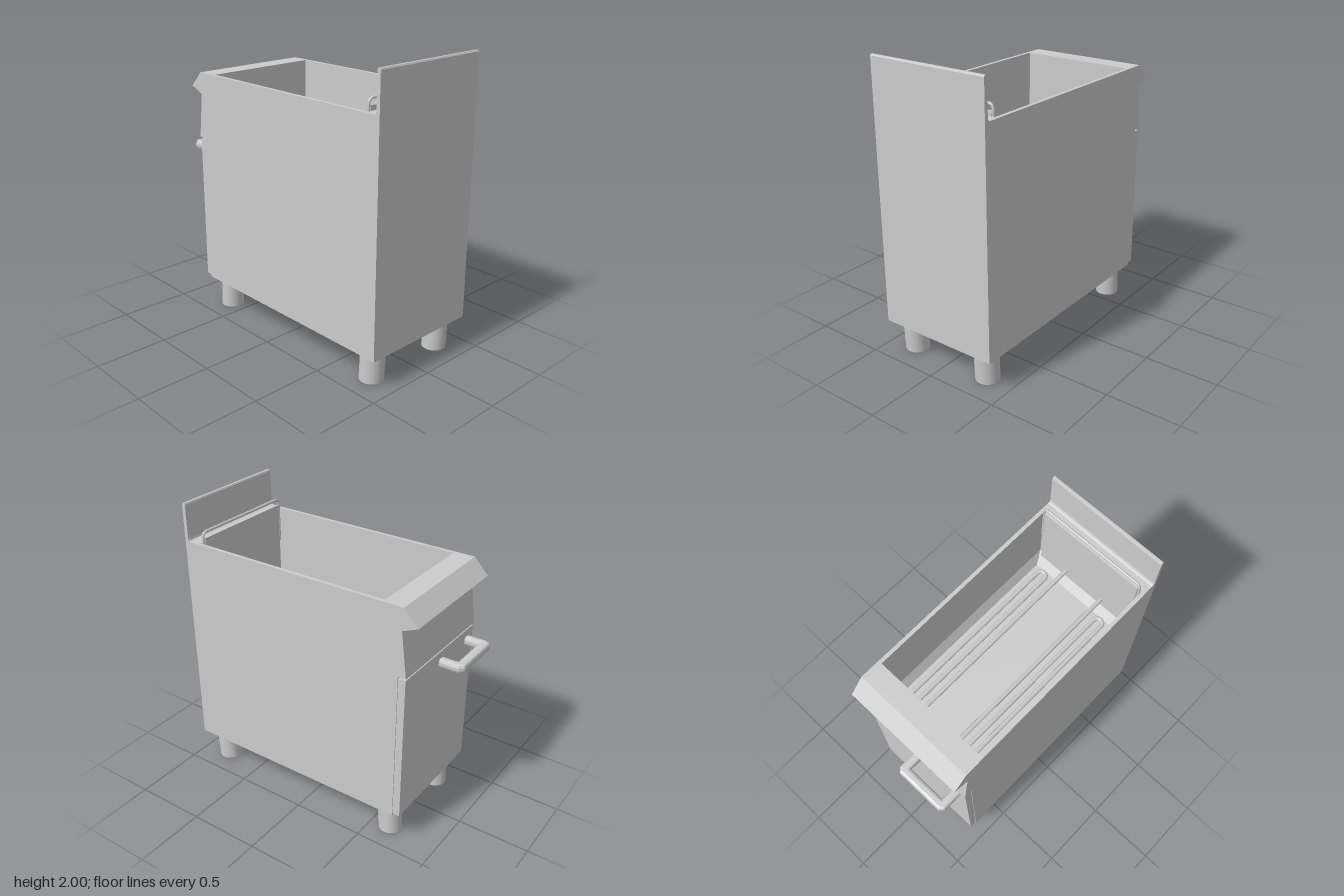
import * as THREE from 'three';

const steel = new THREE.MeshStandardMaterial({ color: 0xcccccc });
const sheet = new THREE.MeshStandardMaterial({ color: 0xcccccc, side: THREE.DoubleSide });

const toShape = (pts) => new THREE.Shape(pts.map(([x, y]) => new THREE.Vector2(x, y)));

// Extrude an x-y profile between two z positions
function slab(pts, z0, z1) {
  const geo = new THREE.ExtrudeGeometry(toShape(pts), { depth: z1 - z0, bevelEnabled: false });
  return geo.translate(0, 0, z0);
}

// Polyline with rounded corners; points are Vector3
function roundedPath(pts, r) {
  const path = new THREE.CurvePath();
  let from = pts[0];
  for (let i = 1; i < pts.length - 1; i++) {
    const p = pts[i];
    const trim = (q) => p.clone().add(q.clone().sub(p).setLength(Math.min(r, q.distanceTo(p) * 0.49)));
    const a = trim(pts[i - 1]);
    const b = trim(pts[i + 1]);
    path.add(new THREE.LineCurve3(from, a));
    path.add(new THREE.QuadraticBezierCurve3(a, p, b));
    from = b;
  }
  path.add(new THREE.LineCurve3(from, pts[pts.length - 1]));
  return path;
}

export function createModel() {
  const model = new THREE.Group();
  const add = (name, geo, mat = steel) => {
    const mesh = new THREE.Mesh(geo, mat);
    mesh.name = name;
    model.add(mesh);
    return mesh;
  };

  // Cabinet outline: base, splashback, then the sloped front lip and control panel
  const back = [[-0.72, 0.22], [0.93, 0.22], [0.93, 1.99], [0.925, 2], [0.91, 2], [0.905, 1.99],
    [0.905, 1.76], [0.9, 1.745], [0.885, 1.74]];
  const front = [[-0.74, 1.74], [-0.84, 1.635], [-0.735, 1.59], [-0.775, 1.28], [-0.72, 1.28]];
  const tank = [[0.82, 1.74], [0.82, 1.26], [0.75, 1.18], [-0.57, 1.18], [-0.6, 1.26], [-0.6, 1.74]];

  add('cabinetCore', slab([...back, ...tank, ...front], -0.405, 0.405));
  add('sidePanelBack', slab([...back, ...front], -0.43, -0.405));
  add('sidePanelFront', slab([...back, ...front], 0.405, 0.43));

  // Sloped long edges of the tank floor
  for (const s of [-1, 1]) {
    const wedge = new THREE.ExtrudeGeometry(
      toShape([[s * 0.405, 1.18], [s * 0.405, 1.26], [s * 0.37, 1.18]]),
      { depth: 1.42, bevelEnabled: false });
    wedge.rotateY(Math.PI / 2).scale(1, 1, 1).translate(-0.6, 0, 0);
    add('tankFloorSlope', wedge);
  }

  // Door with a narrow shadow gap above it
  add('door', new THREE.BoxGeometry(0.055, 1.03, 0.85).translate(-0.7425, 0.75, 0));

  // Chamfered U handle
  const handle = new THREE.ExtrudeGeometry(
    toShape([[-0.75, 0], [-0.9, 0], [-0.917, 0.015], [-0.917, 0.345], [-0.9, 0.36], [-0.75, 0.36],
      [-0.75, 0.34], [-0.875, 0.34], [-0.892, 0.325], [-0.892, 0.035], [-0.875, 0.02], [-0.75, 0.02]]),
    { depth: 0.02, bevelThickness: 0.02, bevelSize: 0.02, bevelSegments: 2 });
  add('doorHandle', handle.rotateX(Math.PI / 2).translate(0, 1.195, 0));

  // Open tubular feet, leaning very slightly
  const lean = new THREE.Matrix4().set(1, 0.05, 0, 0, 0, 1, 0, 0, 0, 0, 1, 0, 0, 0, 0, 1);
  for (const x of [-0.63, 0.8]) {
    for (const z of [-0.303, 0.303]) {
      const foot = new THREE.CylinderGeometry(0.081, 0.081, 0.225, 32, 1, true);
      add('foot', foot.applyMatrix4(lean).translate(x, 0.1125, z), sheet);
    }
  }

  // Serpentine heating elements, mirrored across the tank
  for (const s of [-1, 1]) {
    const pts = [[0.8, 0.155], [-0.57, 0.155], [-0.57, 0.22], [0.685, 0.22], [0.685, 0.285],
      [-0.563, 0.285], [-0.563, 0.4]].map(([x, z]) => new THREE.Vector3(x, 1.305, s * z));
    add('heatingElement', new THREE.TubeGeometry(roundedPath(pts, 0.04), 300, 0.016, 10));
  }

  // Element carrier plate and its lifting rail
  add('elementPlate', new THREE.BoxGeometry(0.012, 0.57, 0.76).translate(0.806, 1.485, 0));
  const rail = [[1.5, -0.39], [1.812, -0.39], [1.812, 0.39], [1.5, 0.39]]
    .map(([y, z]) => new THREE.Vector3(0.808, y, z));
  add('liftingRail', new THREE.TubeGeometry(roundedPath(rail, 0.04), 160, 0.009, 10));

  return model;
}
